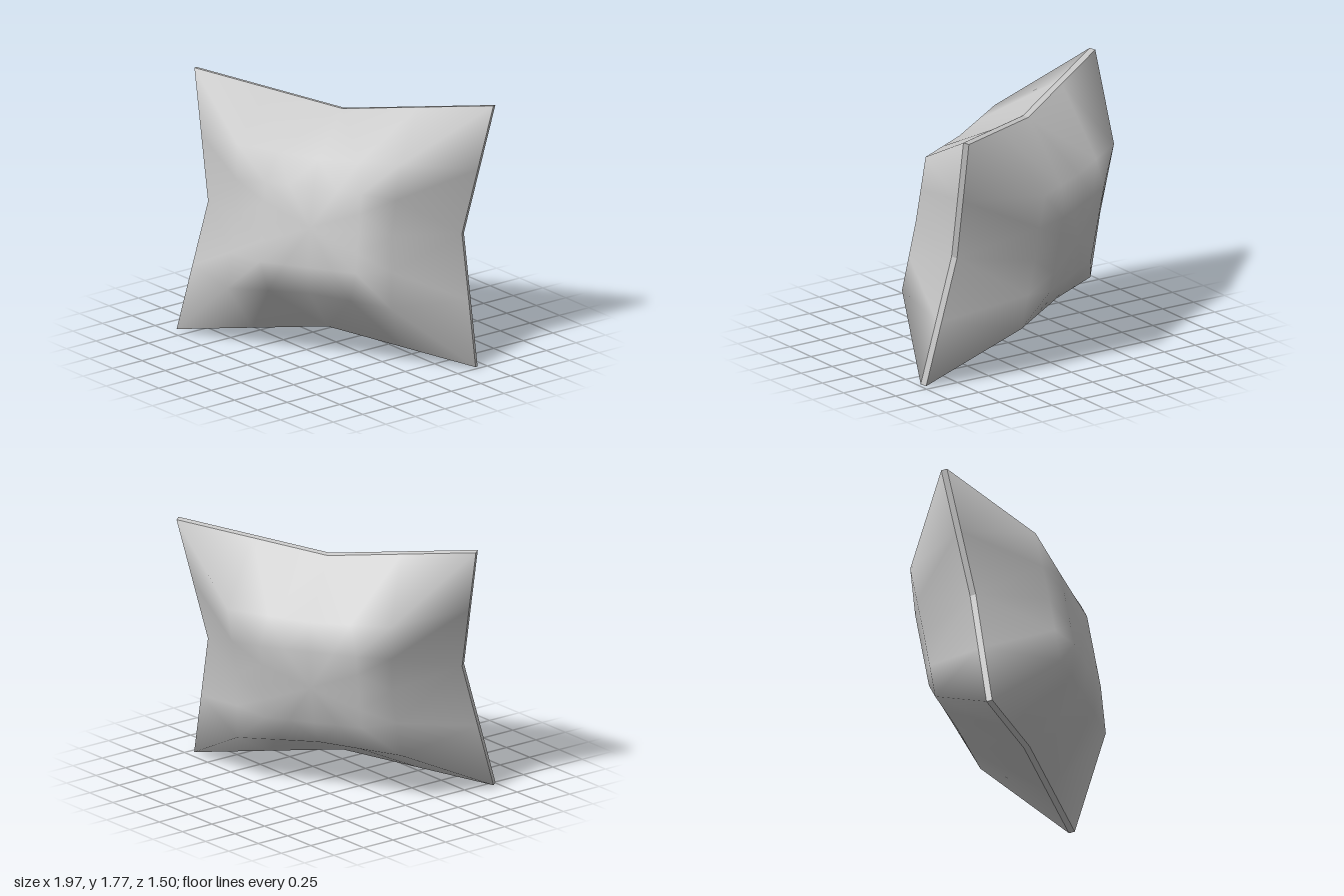
import * as THREE from 'three';

const SEGS = 4; // points per pillow side

// Closed four-sided loop: corners at (cx, cy), side middles pinched to mx / my.
function ring(cx, cy, mx, my, n) {
  const keys = [
    [cx, cy], [0, my], [-cx, cy], [-mx, 0],
    [-cx, -cy], [0, -my], [cx, -cy], [mx, 0],
  ];
  const pts = [];
  const half = SEGS / 2;
  keys.forEach((p, k) => {
    const q = keys[(k + 1) % keys.length];
    for (let s = 0; s < half; s++) {
      const t = s / half;
      pts.push([p[0] + (q[0] - p[0]) * t, p[1] + (q[1] - p[1]) * t, n]);
    }
  });
  return pts;
}

// Skin consecutive loops, optionally closing the last one with a centre point.
function loft(rings, cap, flip) {
  const count = rings[0].length;
  const index = [];
  const tri = (a, b, c) => (flip ? index.push(a, c, b) : index.push(a, b, c));
  for (let r = 0; r < rings.length - 1; r++) {
    for (let i = 0; i < count; i++) {
      const j = (i + 1) % count;
      const a = r * count + i, b = r * count + j;
      const c = b + count, d = a + count;
      // Mirror the diagonal on alternate half sides
      if (Math.floor(i / (SEGS / 2)) % 2) { tri(a, b, c); tri(a, c, d); }
      else { tri(a, b, d); tri(b, c, d); }
    }
  }
  const points = rings.flat();
  if (cap) {
    const base = (rings.length - 1) * count;
    for (let i = 0; i < count; i++) tri(base + i, base + (i + 1) % count, points.length);
    points.push(cap);
  }
  const g = new THREE.BufferGeometry();
  g.setAttribute('position', new THREE.Float32BufferAttribute(points.flat(), 3));
  g.setIndex(index);
  g.computeVertexNormals();
  return g;
}

export function createModel() {
  const material = new THREE.MeshStandardMaterial({ color: 0xcccccc });
  const pillow = new THREE.Group();
  pillow.name = 'pillow';

  const outline = (n) => ring(1.06, 0.887, 0.9, 0.739, n);
  const add = (name, geometry) => {
    const mesh = new THREE.Mesh(geometry, material);
    mesh.name = name;
    pillow.add(mesh);
  };

  // Two puffed cushion halves, mirrored across the seam
  for (const [name, s] of [['frontCushion', 1], ['backCushion', -1]]) {
    add(name, loft([
      outline(0.02 * s),
      ring(0.58, 0.49, 0.55, 0.455, 0.44 * s),
      ring(0.34, 0.27, 0.34, 0.27, 0.51 * s),
    ], [0, 0, 0.52 * s], s < 0));
  }

  // Narrow flat seam band, with hard edges and corners
  const band = loft([outline(-0.02), outline(0.02)], null, false).toNonIndexed();
  band.computeVertexNormals();
  add('seamBand', band);

  // Tilt of the whole pillow
  const u = new THREE.Vector3(0.847, -0.007, -0.533).normalize();
  const n = u.clone().cross(new THREE.Vector3(-0.093, 0.984, -0.152)).normalize();
  const v = n.clone().cross(u);
  pillow.quaternion.setFromRotationMatrix(new THREE.Matrix4().makeBasis(u, v, n));
  pillow.position.y = 0.89;

  const model = new THREE.Group();
  model.name = 'throwPillow';
  model.add(pillow);
  return model;
}
